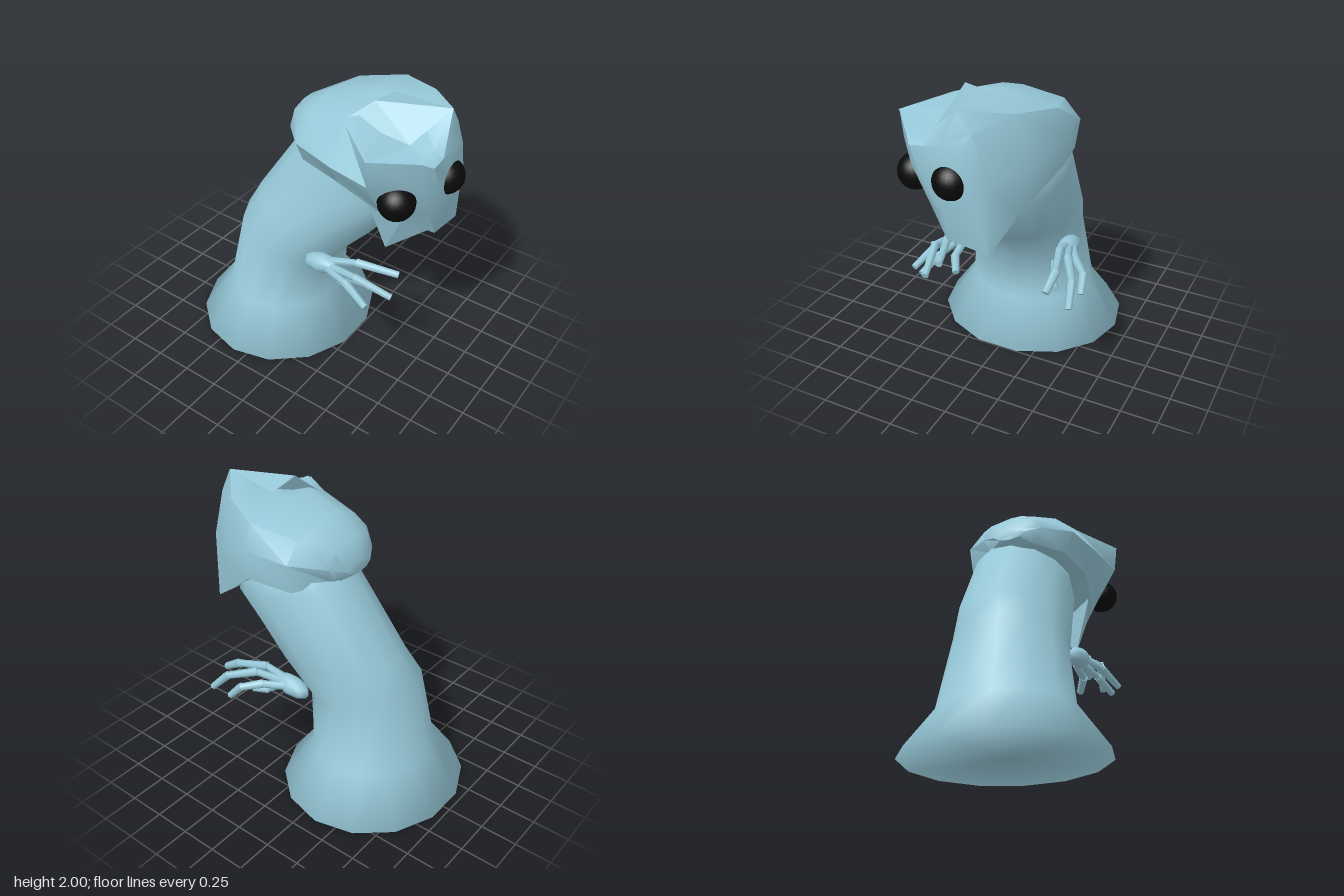
import * as THREE from 'three';
import { toCreasedNormals } from 'three/addons/utils/BufferGeometryUtils.js';

const skin = new THREE.MeshStandardMaterial({ color: 0x97c9d9, side: THREE.DoubleSide });
skin.name = 'pale blue skin';
const black = new THREE.MeshStandardMaterial({ color: 0x0a0a0a });
black.name = 'black';

function add(parent, name, geometry, material = skin) {
  const mesh = new THREE.Mesh(geometry, material);
  mesh.name = name;
  parent.add(mesh);
  return mesh;
}

// Skin a list of equal-length rings of Vector3 and close both ends
function loft(rings, crease) {
  const n = rings[0].length, last = rings.length - 1;
  const pos = rings.flat().flatMap(p => [p.x, p.y, p.z]);
  const index = [];
  for (let r = 0; r < last; r++) {
    for (let i = 0; i < n; i++) {
      const j = (i + 1) % n, a = r * n + i, b = r * n + j;
      index.push(a, a + n, b, b, a + n, b + n);
    }
  }
  for (const r of [0, last]) {
    const c = rings[r].reduce((s, p) => s.add(p), new THREE.Vector3()).divideScalar(n);
    const ci = pos.length / 3;
    pos.push(c.x, c.y, c.z);
    for (let i = 0; i < n; i++) {
      const a = r * n + i, b = r * n + (i + 1) % n;
      if (r === 0) index.push(ci, a, b);
      else index.push(ci, b, a);
    }
  }
  const g = new THREE.BufferGeometry();
  g.setAttribute('position', new THREE.Float32BufferAttribute(pos, 3));
  g.setIndex(index);
  return toCreasedNormals(g, crease);
}

// Flat-sided sheet from separate triangles
function sheet(...corners) {
  const g = new THREE.BufferGeometry();
  g.setAttribute('position', new THREE.Float32BufferAttribute(corners.flat(), 3));
  g.computeVertexNormals();
  return g;
}

// Flared base bending forward into the neck: left x, right x, front z/y, back z/y
function bodyGeometry() {
  const sections = [
    [-0.675, 0.645, 0.26, 0, -0.965, 0],
    [-0.46, 0.43, 0.05, 0.3, -0.745, 0.3],
    [-0.385, 0.365, 0.09, 0.67, -0.635, 0.85],
    [-0.32, 0.41, 0.36, 0.96, -0.555, 1.02],
    [-0.24, 0.455, 0.62, 1.29, -0.215, 1.55],
    [-0.2, 0.43, 0.63, 1.5, -0.1, 1.68],
  ];
  const sides = 14;
  return loft(sections.map(([l, r, fz, fy, bz, by]) =>
    Array.from({ length: sides }, (_, i) => {
      const a = (i / sides) * Math.PI * 2, s = Math.sin(a);
      return new THREE.Vector3(
        (l + r) / 2 + (r - l) / 2 * Math.cos(a),
        (fy + by) / 2 + (fy - by) / 2 * s,
        (fz + bz) / 2 + (fz - bz) / 2 * s);
    })), 2.6);
}

// Irregular head from cross-sections, back to front; each runs clockwise from the crown
function headGeometry() {
  const sections = [
    [-0.23, [.04, 1.66, .1, 1.65, .15, 1.62, .1, 1.59, .04, 1.58, -.04, 1.59, -.08, 1.62, -.04, 1.65, 0, 1.66]],
    [-0.17, [.05, 1.79, .2, 1.76, .25, 1.66, .2, 1.55, .04, 1.53, -.12, 1.55, -.18, 1.66, -.13, 1.76, -.03, 1.79]],
    [0, [.06, 1.88, .34, 1.84, .45, 1.72, .42, 1.52, .05, 1.5, -.28, 1.53, -.35, 1.68, -.22, 1.82, -.08, 1.87]],
    [0.3, [.05, 1.95, .43, 1.9, .49, 1.74, .475, 1.54, .05, 1.45, -.33, 1.5, -.42, 1.66, -.27, 1.88, -.13, 1.93]],
    [0.58, [.05, 1.96, .3, 1.94, .39, 1.62, .32, 1.31, .03, 1.28, -.28, 1.36, -.46, 1.65, -.48, 1.83, -.17, 1.82]],
    [0.82, [.06, 2, .14, 1.88, .23, 1.6, .24, 1.13, -.04, 1.17, -.13, 1.36, -.26, 1.62, -.28, 1.8, -.13, 1.82]],
    [0.88, [-.02, 1.8, .1, 1.78, .14, 1.6, .08, 1.42, -.02, 1.38, -.08, 1.45, -.17, 1.62, -.23, 1.77, -.13, 1.78]],
  ];
  return loft(sections.map(([z, xy]) =>
    Array.from({ length: xy.length / 2 }, (_, i) =>
      new THREE.Vector3(xy[2 * i], xy[2 * i + 1], z))), 0.8);
}

// Raised fold on the crown: a plate and the slope beside it
function crestGeometry() {
  const peak = [-.12, 2, .41], dip = [-.17, 1.82, .68];
  const rear = [.1, 1.96, .41], tip = [.06, 2, .82];
  const inner = [-.22, 1.89, .28], corner = [-.475, 1.835, .6];
  return sheet(peak, dip, tip, peak, tip, rear, inner, dip, peak, inner, corner, dip);
}

// Pointed fold hanging under the jaw
function chinGeometry() {
  const tip = [-.15, 1, .54], front = [-.05, 1.19, .79];
  const cheek = [-.2, 1.36, .7], outer = [-.28, 1.4, .48], inner = [0, 1.29, .6];
  return sheet(outer, tip, cheek, cheek, tip, front, front, tip, inner, inner, tip, outer);
}

// Palm with jointed fingers, each finger a list of joints
function hand(name, palm, fingers) {
  const group = new THREE.Group();
  group.name = name;
  const p = add(group, 'palm', new THREE.SphereGeometry(1, 8, 6));
  p.position.set(...palm);
  p.scale.set(0.068, 0.068, 0.14);
  p.rotation.x = -0.15;
  for (const joints of fingers) {
    const pts = joints.map(j => new THREE.Vector3(...j));
    for (let i = 0; i + 1 < pts.length; i++) {
      const d = pts[i + 1].clone().sub(pts[i]);
      const seg = add(group, 'fingerSegment',
        new THREE.CylinderGeometry(0.024, 0.03, d.length() + 0.015, 6));
      seg.position.copy(pts[i]).addScaledVector(d, 0.5);
      seg.quaternion.setFromUnitVectors(new THREE.Vector3(0, 1, 0), d.normalize());
    }
  }
  return group;
}

export function createModel() {
  const model = new THREE.Group();
  model.name = 'longNeckedCreature';
  add(model, 'body', bodyGeometry());
  add(model, 'head', headGeometry());
  add(model, 'crest', crestGeometry());
  add(model, 'chin', chinGeometry());

  // Eyes
  for (const [name, x, y, z] of [
    ['leftEye', 0.015, 1.575, 0.835],
    ['rightEye', -0.31, 1.51, 0.695],
  ]) {
    add(model, name, new THREE.SphereGeometry(0.115, 24, 16), black).position.set(x, y, z);
  }

  // Hands
  model.add(hand('leftHand', [0.41, 0.81, 0.02], [
    [[.42, .83, .04], [.5, .87, .25], [.6, .82, .42], [.63, .7, .53]],
    [[.44, .82, .03], [.53, .82, .18], [.62, .8, .28], [.64, .71, .36]],
    [[.41, .84, .05], [.43, .89, .22], [.49, .86, .42], [.48, .78, .54]],
    [[.4, .78, .05], [.37, .74, .15], [.4, .67, .25], [.45, .67, .33]],
  ]));
  model.add(hand('rightHand', [-0.31, 0.8, 0.16], [
    [[-.3, .83, .2], [-.28, .9, .42], [-.2, .87, .67]],
    [[-.32, .81, .2], [-.36, .85, .45], [-.3, .76, .68]],
    [[-.33, .8, .2], [-.39, .8, .4], [-.44, .73, .58]],
    [[-.32, .77, .2], [-.36, .74, .4], [-.4, .68, .56]],
    [[-.28, .77, .2], [-.27, .73, .35], [-.21, .68, .45]],
  ]));
  return model;
}
